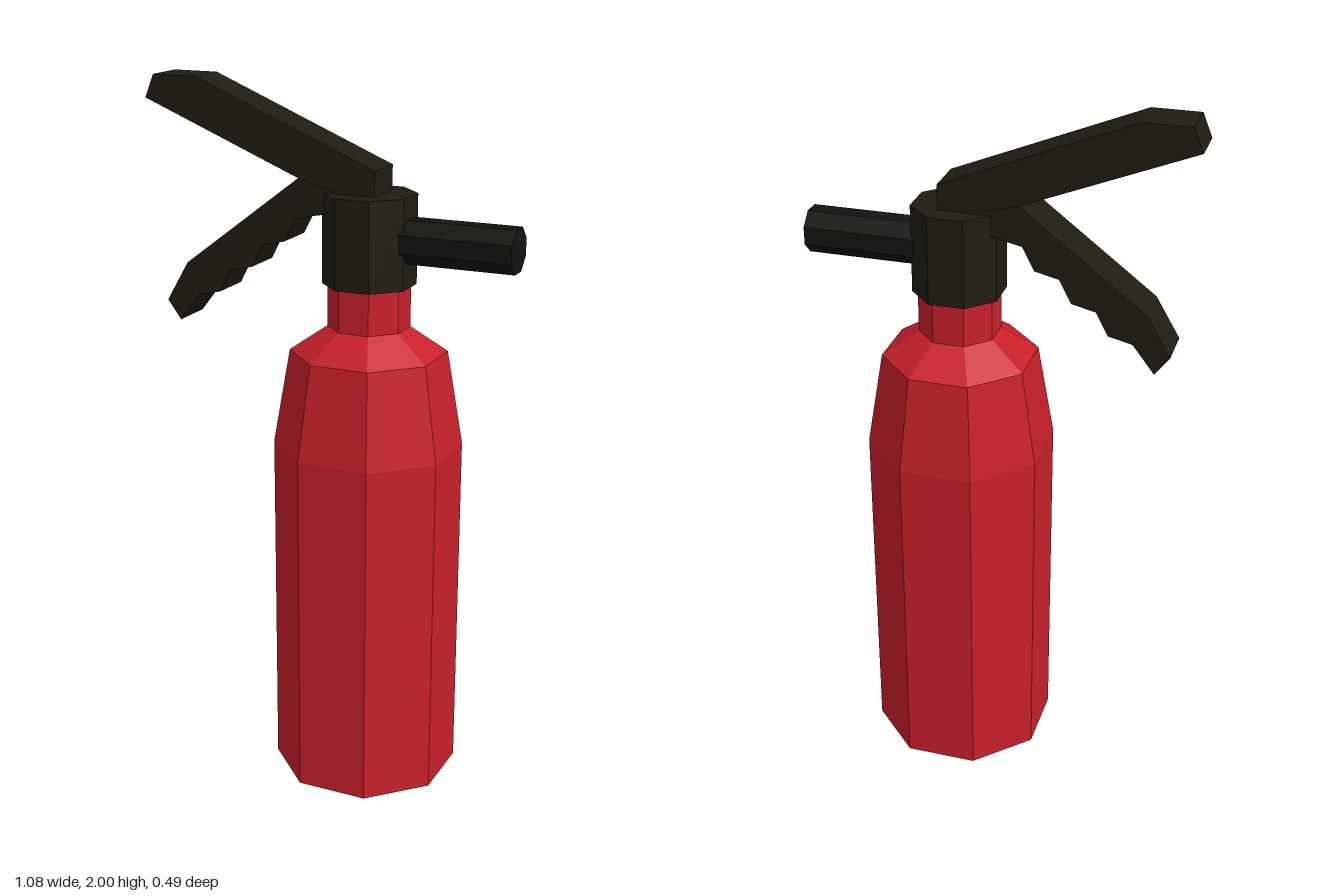
import * as THREE from 'three';

const material = (color) => new THREE.MeshStandardMaterial({ color, flatShading: true });
const SIDES = 8;
const FLAT = 1 / Math.cos(Math.PI / SIDES); // flat-to-centre distance -> corner radius
const AXIS_X = 0.115;

export function createModel() {
  const group = new THREE.Group();
  const red = material(0xc8202a);
  const black = material(0x1f1c11);
  const rubber = material(0x11140f);

  const add = (name, geometry, mat) => {
    const mesh = new THREE.Mesh(geometry, mat);
    mesh.name = name;
    group.add(mesh);
    return mesh;
  };

  // Octagonal prism with flat sides facing the axes
  const prism = (apothem, length) =>
    new THREE.CylinderGeometry(apothem * FLAT, apothem * FLAT, length, SIDES).rotateY(Math.PI / SIDES);

  // Side outline extruded to a bar centred on z = 0
  const bar = (points, width) =>
    new THREE.ExtrudeGeometry(new THREE.Shape(points.map(([x, y]) => new THREE.Vector2(x, y))), {
      depth: width, bevelEnabled: false,
    }).translate(0, 0, -width / 2);

  // Tank with tapered shoulder and neck
  const profile = [[0, 0], [0.246, 0], [0.246, 1.0], [0.203, 1.27], [0.106, 1.34], [0.106, 1.47], [0, 1.47]]
    .map(([r, y]) => new THREE.Vector2(r * FLAT, y));
  add('tank', new THREE.LatheGeometry(profile, SIDES, Math.PI / SIDES), red).position.x = AXIS_X;

  // Valve block on the neck
  add('valve', prism(0.12, 0.25), black).position.set(AXIS_X, 1.585, 0);

  // Nozzle pointing sideways from the valve
  add('nozzle', prism(0.06, 0.34).rotateZ(-Math.PI / 2), rubber).position.set(0.37, 1.59, 0);

  // Squeeze lever above the valve
  add('lever', bar([
    [-0.54, 1.935], [-0.07, 1.745], [0, 1.705], [0.155, 1.705], [0.155, 1.78], [-0.38, 2.0], [-0.513, 2.0],
  ], 0.122), black);

  // Carrying handle with finger grips along its underside
  const grips = [];
  for (let i = 0; i < 4; i++) {
    const x = -0.385 + i * 0.102, y = 1.39 + i * 0.081;
    grips.push([x, y], [x + 0.068, y + 0.016]);
  }
  add('handle', bar([
    [-0.447, 1.31], ...grips, [0.03, 1.655], [0.03, 1.72], [-0.07, 1.745], [-0.42, 1.48], [-0.488, 1.365],
  ], 0.126), black);

  return group;
}
